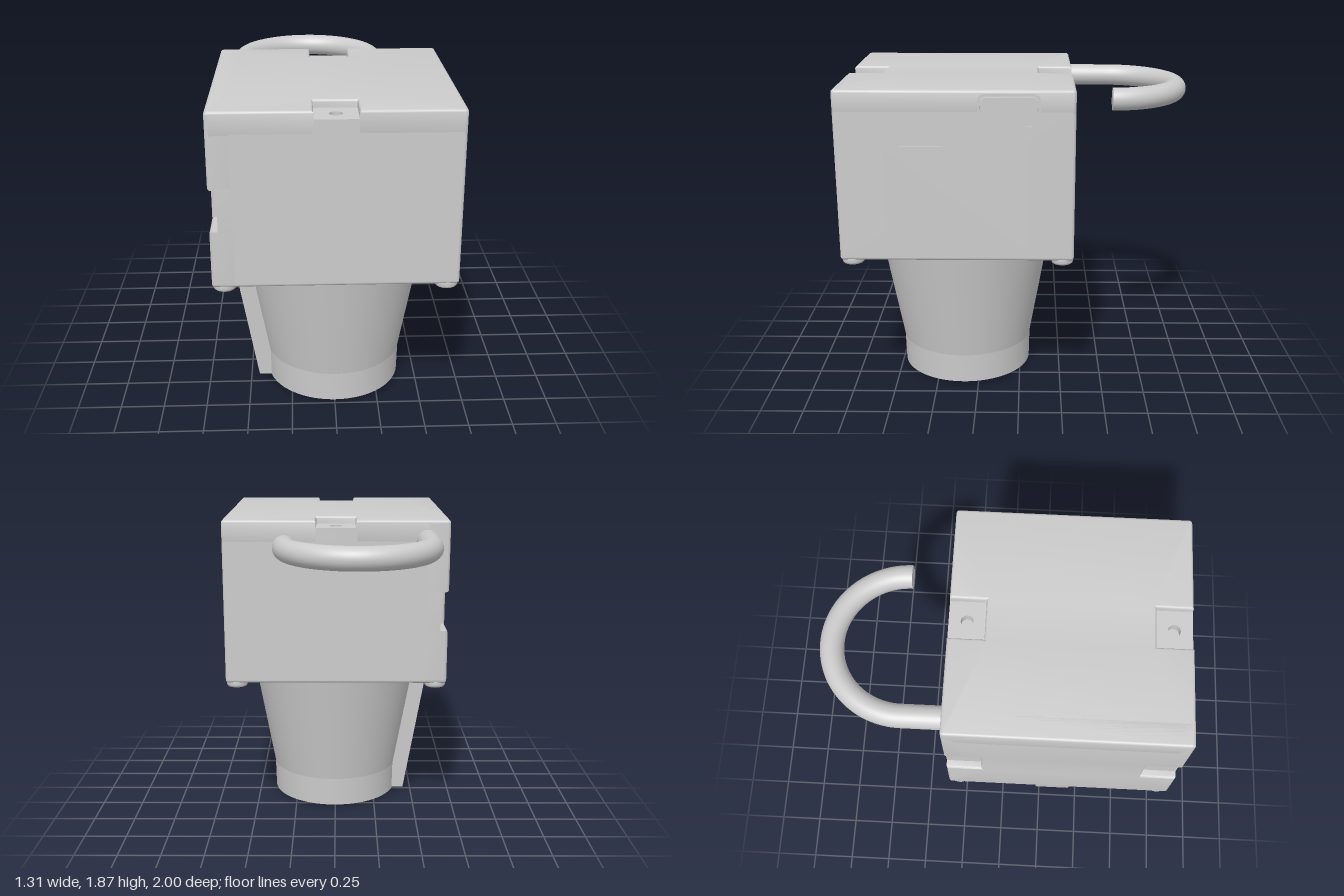
import * as THREE from 'three';
import { toCreasedNormals } from 'three/addons/utils/BufferGeometryUtils.js';
import { RoundedBoxGeometry } from 'three/addons/geometries/RoundedBoxGeometry.js';

const X = new THREE.Vector3(1, 0, 0), Y = new THREE.Vector3(0, 1, 0), Z = new THREE.Vector3(0, 0, 1);
const neg = (v) => v.clone().negate();
const FACES = { // axes (u, v, outward) for shapes drawn on each face
  top: [Z, X, Y],
  right: [Z, Y, neg(X)],
  left: [neg(Z), Y, X],
  back: [neg(X), Y, neg(Z)],
  bottom: [X, Z, neg(Y)],
};
const BOX = { x0: -0.66, x1: 0.65, y0: 0.9, y1: 1.865, z0: -0.31, z1: 1 };

// Extrudes a shape so it spans from..to along the outward axis of a face
function extrudeOn(face, shape, from, to, bevel = 0) {
  const geo = new THREE.ExtrudeGeometry(shape, {
    depth: to - from - 2 * bevel, curveSegments: 12, bevelEnabled: bevel > 0,
    bevelSize: bevel, bevelThickness: bevel, bevelOffset: -bevel, bevelSegments: 3,
  });
  geo.translate(0, 0, from + bevel);
  geo.applyMatrix4(new THREE.Matrix4().makeBasis(...FACES[face]));
  return toCreasedNormals(geo, 0.6);
}

function roundedRect(u0, u1, v0, v1, r, Type = THREE.Shape) {
  const s = new Type();
  s.moveTo(u0 + r, v0);
  s.lineTo(u1 - r, v0); s.quadraticCurveTo(u1, v0, u1, v0 + r);
  s.lineTo(u1, v1 - r); s.quadraticCurveTo(u1, v1, u1 - r, v1);
  s.lineTo(u0 + r, v1); s.quadraticCurveTo(u0, v1, u0, v1 - r);
  s.lineTo(u0, v0 + r); s.quadraticCurveTo(u0, v0, u0 + r, v0);
  return s;
}

// Plate outline with a rectangular notch n0..n1 of depth d in both u ends
function notchedPlate(u0, u1, v0, v1, n0, n1, d) {
  const s = new THREE.Shape(), r = 0.02;
  s.moveTo(u0 + r, v0);
  s.lineTo(u1 - r, v0); s.quadraticCurveTo(u1, v0, u1, v0 + r);
  s.lineTo(u1, n0); s.lineTo(u1 - d, n0); s.lineTo(u1 - d, n1); s.lineTo(u1, n1);
  s.lineTo(u1, v1 - r); s.quadraticCurveTo(u1, v1, u1 - r, v1);
  s.lineTo(u0 + r, v1); s.quadraticCurveTo(u0, v1, u0, v1 - r);
  s.lineTo(u0, n1); s.lineTo(u0 + d, n1); s.lineTo(u0 + d, n0); s.lineTo(u0, n0);
  s.lineTo(u0, v0 + r); s.quadraticCurveTo(u0, v0, u0 + r, v0);
  return s;
}

export function createModel() {
  const group = new THREE.Group();
  const material = new THREE.MeshStandardMaterial({ color: 0xcccccc });
  const add = (name, geo) => {
    const mesh = new THREE.Mesh(geo, material);
    mesh.name = name;
    group.add(mesh);
    return mesh;
  };
  const { x0, x1, y0, y1, z0, z1 } = BOX;

  // Housing core, wrapped by a notched plate on the top and on the right side
  const cx = x0 + 0.1, cy = y1 - 0.1;
  add('housingCore', new RoundedBoxGeometry(x1 - cx, cy - y0, z1 - z0, 3, 0.018))
    .position.set((x1 + cx) / 2, (cy + y0) / 2, (z1 + z0) / 2);
  const notch = 0.2, deep = 0.045;
  const sides = [
    { face: 'top', v: [x0, x1], n: [-0.12, 0.11], level: y1 },
    { face: 'right', v: [y0, y1], n: [1.22, 1.45], level: -x0 },
  ];
  for (const { face, v, n, level } of sides) {
    add(face + 'Plate', extrudeOn(face, notchedPlate(z0, z1, ...v, ...n, notch), level - 0.14, level, 0.015));
    // Notch floors with a screw hole
    for (const [a, b, hole] of [[z0, z0 + notch + 0.01, z0 + 0.1], [z1 - notch - 0.01, z1, z1 - 0.1]]) {
      const floor = roundedRect(a, b, n[0] - 0.01, n[1] + 0.01, 0.001);
      floor.holes.push(new THREE.Path().absarc(hole, (n[0] + n[1]) / 2, 0.035, 0, Math.PI * 2, true));
      add(face + 'NotchFloor', extrudeOn(face, floor, level - 0.12, level - deep));
    }
  }

  // Button in a thin frame, with a finger tab below it
  const frame = roundedRect(-0.22, 0.12, 1.66, 1.845, 0.045);
  frame.holes.push(roundedRect(-0.208, 0.108, 1.672, 1.833, 0.036, THREE.Path));
  add('buttonFrame', extrudeOn('left', frame, x1 - 0.01, x1 + 0.003));
  add('button', extrudeOn('left', roundedRect(-0.2, 0.1, 1.68, 1.825, 0.03), x1 - 0.01, x1 + 0.003));
  const tab = new THREE.Shape().absellipse(-0.05, 1.665, 0.08, 0.025, Math.PI, Math.PI * 2, false);
  add('fingerTab', extrudeOn('left', tab, x1 - 0.01, x1 + 0.002));

  // Shallow cover panels
  add('sidePanel', extrudeOn('left', roundedRect(-0.74, 0.05, 0.97, 1.56, 0.01), x1 - 0.01, x1 + 0.003));
  add('backPanel', extrudeOn('back', roundedRect(-0.45, 0.45, 1.07, 1.73, 0.08), -z0 - 0.01, -z0 + 0.003));

  // Screw feet with a cross recess
  const w = 0.007, l = 0.025;
  const cross = [[w, l], [w, w], [l, w], [l, -w], [w, -w], [w, -l], [-w, -l], [-w, -w], [-l, -w], [-l, w], [-w, w], [-w, l]];
  const head = new THREE.Shape().absarc(0, 0, 0.062, 0, Math.PI * 2, false);
  head.holes.push(new THREE.Path(cross.map(([x, y]) => new THREE.Vector2(x, y))));
  const foot = extrudeOn('bottom', head, -0.02, 0.03, 0.014);
  for (const x of [x0 + 0.064, x1 - 0.064]) {
    for (const z of [z0 + 0.064, z1 - 0.064]) add('screwFoot', foot).position.set(x, y0, z);
  }

  // Tapered cup under the housing
  const profile = [[0, 0], [0.395, 0.012], [0.4, 0.19], [0.53, 0.91]].map(([r, y]) => new THREE.Vector2(r, y));
  add('cup', toCreasedNormals(new THREE.LatheGeometry(profile, 96), 0.12)).position.set(0.003, 0, 0.338);

  // Sloping rib along the right of the cup
  const rib = new THREE.BoxGeometry(1, 1, 1);
  const p = rib.attributes.position;
  for (let i = 0; i < p.count; i++) {
    const up = p.getY(i) > 0;
    const x = p.getX(i) > 0 ? (up ? -0.4 : -0.3) : (up ? -0.6 : -0.45);
    p.setXYZ(i, x, up ? 0.91 : 0.018, 0.338 + p.getZ(i) * (up ? 0.29 : 0.22));
  }
  rib.computeVertexNormals();
  add('cupRib', rib);

  // Open hook: a straight shank followed by a half circle
  const R = 0.405, hx = -0.125, hz = -0.53, hy = 1.745, tube = 0.065;
  const shank = new THREE.CylinderGeometry(tube, tube, 0.24, 32);
  shank.rotateX(Math.PI / 2);
  add('hookShank', shank).position.set(hx - R, hy, hz + 0.12);
  const arc = new THREE.TorusGeometry(R, tube, 32, 64, Math.PI);
  arc.rotateX(-Math.PI / 2);
  add('hookArc', arc).position.set(hx, hy, hz);
  add('hookTip', new THREE.CircleGeometry(tube, 32)).position.set(hx + R, hy, hz);

  return group;
}
